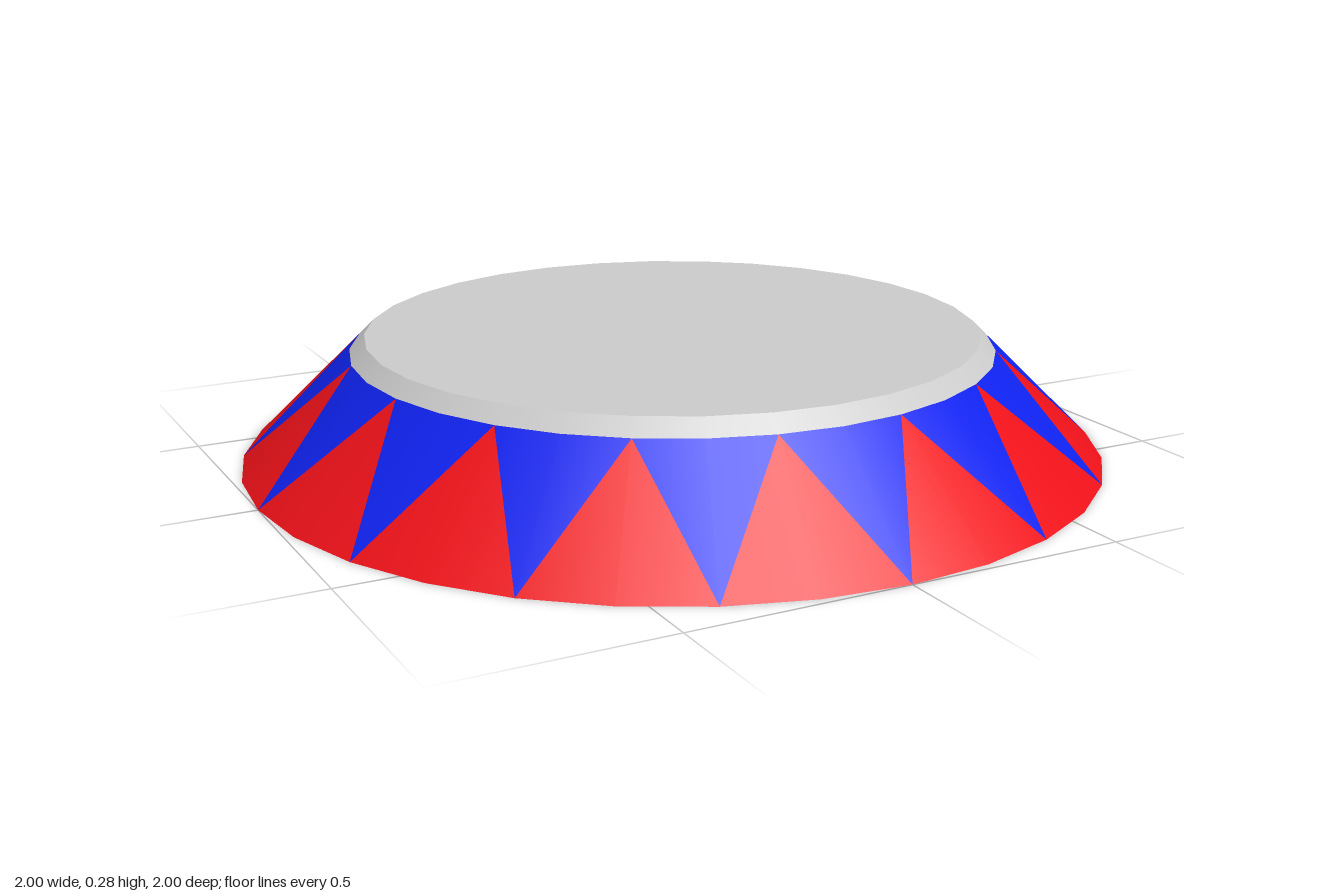
import * as THREE from 'three';

const SIDES = 32;
const BASE_R = 1, BAND_R = 0.746, TOP_R = 0.711;
const BAND_Y = 0.25, TOP_Y = 0.285;

// Point on a ring, counted from the front towards +x
const ringPoint = (i, r, y) => {
  const a = (i / SIDES) * Math.PI * 2;
  return [Math.sin(a) * r, y, Math.cos(a) * r];
};

// One colour of the zigzag band: red triangles stand on the base, blue ones hang from the rim
function zigzag(red) {
  const positions = [], normals = [];
  const slope = new THREE.Vector2(BAND_Y, BASE_R - BAND_R).normalize();
  const add = (i, upper) => {
    positions.push(...(upper ? ringPoint(i, BAND_R, BAND_Y) : ringPoint(i, BASE_R, 0)));
    normals.push(...ringPoint(i, slope.x, slope.y));
  };
  for (let i = 0; i < SIDES; i++) {
    const even = i % 2 === 0;
    if (red) {
      add(i, false); add(i + 1, false); add(even ? i + 1 : i, true);
    } else {
      add(even ? i : i + 1, false); add(i + 1, true); add(i, true);
    }
  }
  const geometry = new THREE.BufferGeometry();
  geometry.setAttribute('position', new THREE.Float32BufferAttribute(positions, 3));
  geometry.setAttribute('normal', new THREE.Float32BufferAttribute(normals, 3));
  return geometry;
}

export function createModel() {
  const group = new THREE.Group();
  group.name = 'taperedDisc';
  const grey = new THREE.MeshStandardMaterial({ color: 0xcccccc });

  const addPart = (name, geometry, material) => {
    const mesh = new THREE.Mesh(geometry, material);
    mesh.name = name;
    group.add(mesh);
    return mesh;
  };

  // Sloping coloured band
  addPart('redTriangles', zigzag(true), new THREE.MeshStandardMaterial({ color: 0xee1119 }));
  addPart('blueTriangles', zigzag(false), new THREE.MeshStandardMaterial({ color: 0x0f22ee }));

  // Narrow bevelled rim above the band
  const rimHeight = TOP_Y - BAND_Y;
  addPart('rim', new THREE.CylinderGeometry(TOP_R, BAND_R, rimHeight, SIDES, 1, true), grey)
    .position.y = BAND_Y + rimHeight / 2;

  // Flat top and underside
  const top = addPart('topFace', new THREE.CircleGeometry(TOP_R, SIDES), grey);
  top.rotation.x = -Math.PI / 2;
  top.position.y = TOP_Y;
  addPart('underside', new THREE.CircleGeometry(BASE_R, SIDES), grey).rotation.x = Math.PI / 2;

  return group;
}
